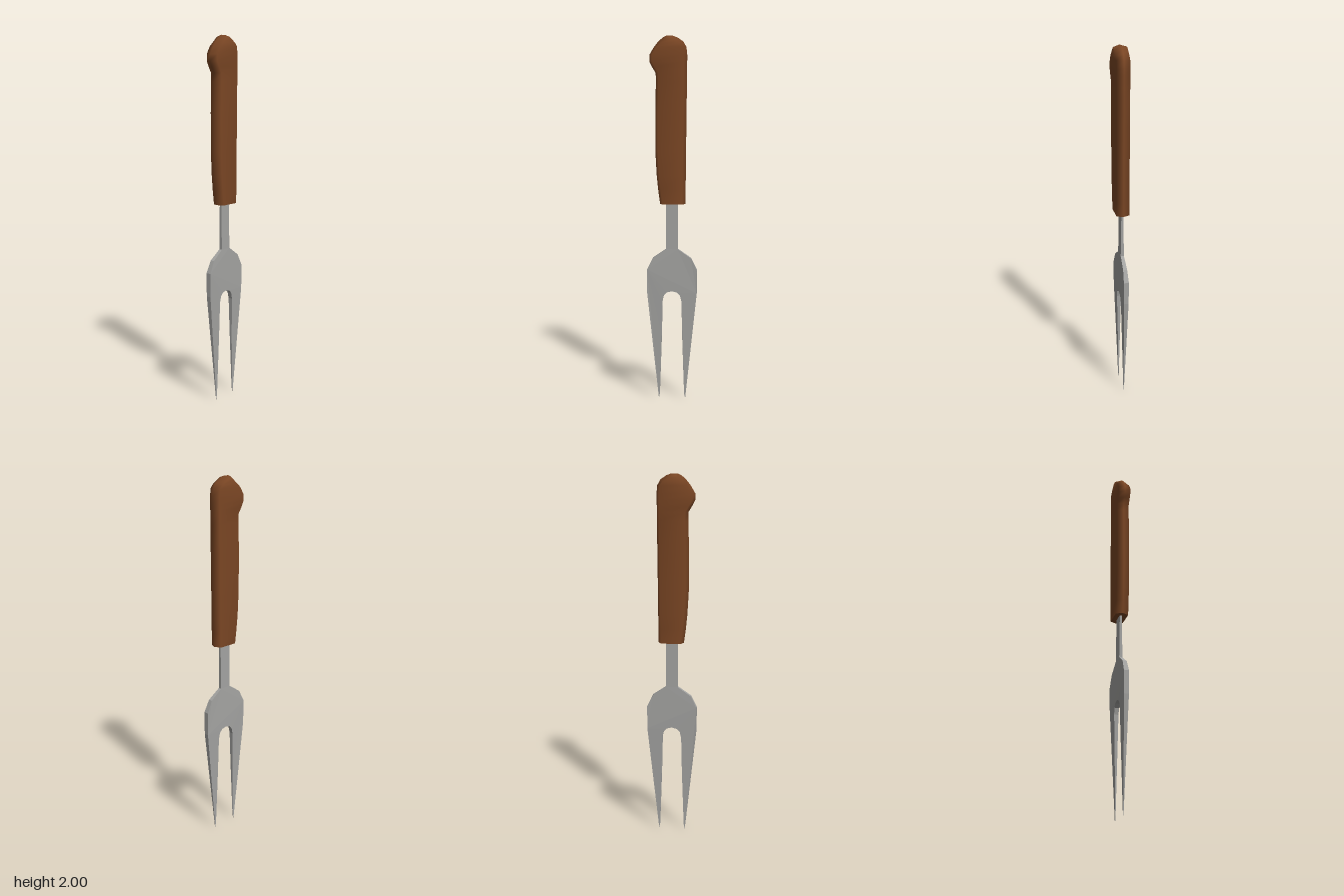
import * as THREE from 'three';

const wood = new THREE.MeshStandardMaterial({ color: 0x7a4624 });
wood.name = 'brown wood';
const steel = new THREE.MeshStandardMaterial({ color: 0xa3a3a1 });
steel.name = 'grey steel';

// Handle: six-sided sections stacked up the grip, smooth all round
function handleGeometry() {
  // height, left edge, right edge
  const rows = [
    [1.105, -0.065, 0.073], [1.18, -0.075, 0.074], [1.26, -0.083, 0.075],
    [1.39, -0.09, 0.076], [1.6, -0.09, 0.078], [1.76, -0.086, 0.08],
    [1.805, -0.087, 0.08], [1.835, -0.105, 0.08], [1.865, -0.121, 0.081],
    [1.9, -0.121, 0.081], [1.94, -0.097, 0.077], [1.97, -0.073, 0.06],
    [1.99, -0.05, 0.03], [2.0, -0.03, 0.004],
  ];
  const depth = 0.035;
  const positions = [], index = [];
  const addRing = ([y, l, r], drop) => {
    const inset = Math.min(0.016, (r - l) * 0.2);
    positions.push(
      l, y, 0, l + inset, y - drop, depth, r - inset, y - drop, depth,
      r, y, 0, r - inset, y - drop, -depth, l + inset, y - drop, -depth);
  };
  rows.forEach((row) => addRing(row, row[0] > 1.95 ? 0.01 : 0));
  for (let i = 0; i < rows.length - 1; i++) {
    for (let j = 0; j < 6; j++) {
      const a = i * 6 + j, b = i * 6 + (j + 1) % 6;
      index.push(a, b, b + 6, a, b + 6, a + 6);
    }
  }
  // Rounded top shares its ring; the flat bottom gets its own
  const top = (rows.length - 1) * 6, bottom = rows.length * 6;
  addRing(rows[0], 0);
  for (let j = 1; j < 5; j++) {
    index.push(top, top + j, top + j + 1);
    index.push(bottom, bottom + j + 1, bottom + j);
  }
  const geometry = new THREE.BufferGeometry();
  geometry.setAttribute('position', new THREE.Float32BufferAttribute(positions, 3));
  geometry.setIndex(index);
  geometry.computeVertexNormals();
  return geometry;
}

// Blade: mirrored two-pronged outline whose thickness varies with height
function bladeGeometry() {
  const half = [
    [0.033, 1.14], [0.033, 0.855], [0.105, 0.805], [0.137, 0.74], [0.137, 0.61],
    [0.074, 0.0], [0.068, 0.03], [0.057, 0.36], [0.053, 0.56], [0.045, 0.595],
    [0.028, 0.613], [0, 0.62],
  ];
  const left = half.slice(0, -1).reverse().map(([x, y]) => [-x, y]);
  const outline = [...half, ...left].map(([x, y]) => new THREE.Vector2(x, y));
  const geometry = new THREE.ExtrudeGeometry(new THREE.Shape(outline), {
    depth: 1, bevelEnabled: false,
  });
  const thickness = [[0, 0.002], [0.36, 0.015], [0.61, 0.026], [0.74, 0.028], [0.855, 0.018], [1.14, 0.01]];
  const thicknessAt = (y) => {
    let i = 0;
    while (i < thickness.length - 2 && y > thickness[i + 1][0]) i++;
    const [y0, t0] = thickness[i], [y1, t1] = thickness[i + 1];
    return THREE.MathUtils.mapLinear(y, y0, y1, t0, t1);
  };
  const p = geometry.attributes.position;
  for (let i = 0; i < p.count; i++) {
    p.setZ(i, (p.getZ(i) - 0.5) * thicknessAt(p.getY(i)) - 0.002);
  }
  geometry.computeVertexNormals();
  return geometry;
}

export function createModel() {
  const group = new THREE.Group();
  group.name = 'carvingFork';
  const handle = new THREE.Mesh(handleGeometry(), wood);
  handle.name = 'handle';
  const blade = new THREE.Mesh(bladeGeometry(), steel);
  blade.name = 'forkBlade';
  group.add(handle, blade);
  return group;
}
